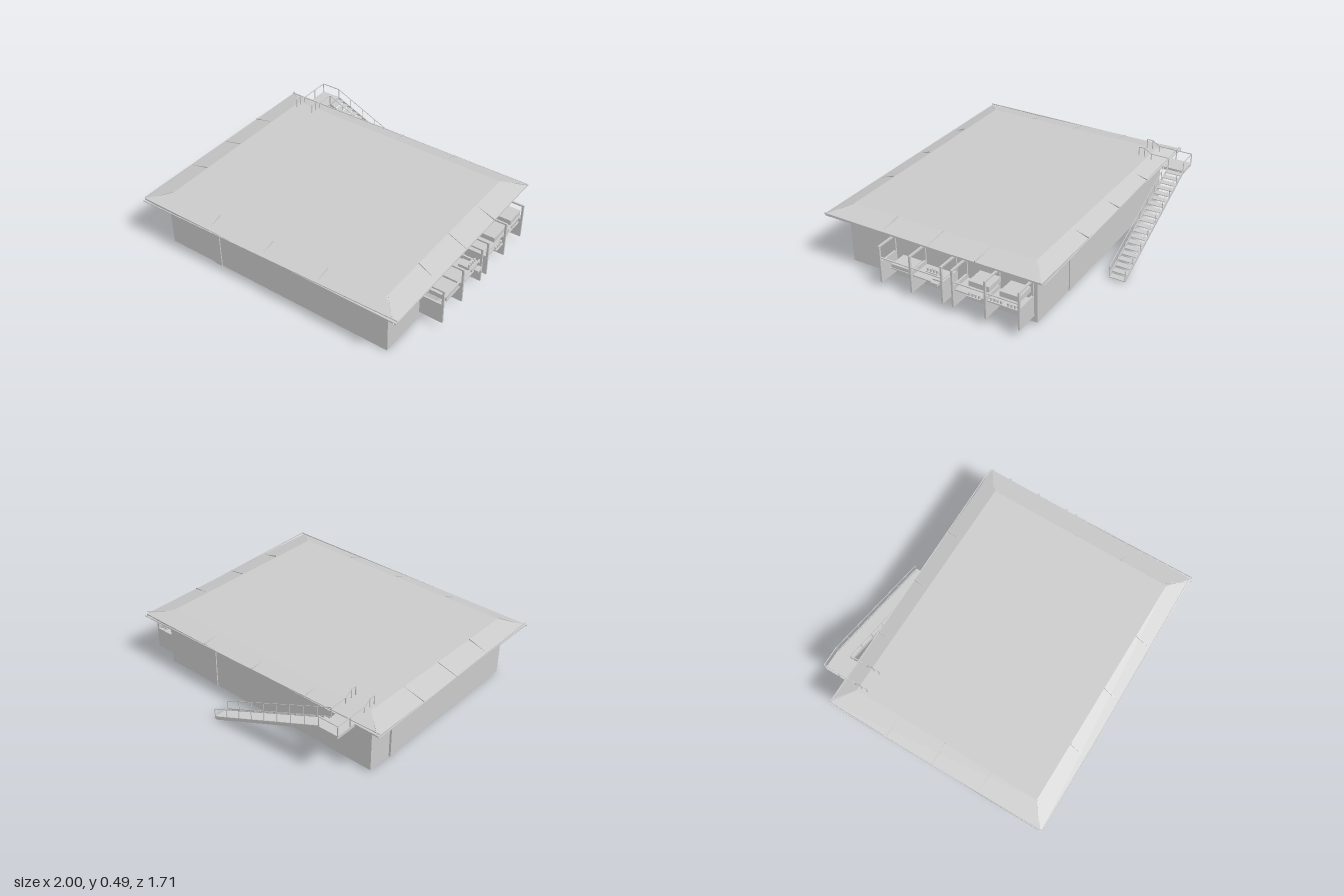
import * as THREE from 'three';

const mat = new THREE.MeshStandardMaterial({ color: 0xcccccc, flatShading: true, side: THREE.DoubleSide });
const CX = -0.028, CZ = 0.073; // centre of the building plan

function add(parent, name, geo) {
  const m = new THREE.Mesh(geo, mat);
  m.name = name;
  parent.add(m);
  return m;
}

// Box given by its extents
function box(parent, name, x0, x1, y0, y1, z0, z1) {
  const m = add(parent, name, new THREE.BoxGeometry(x1 - x0, y1 - y0, z1 - z0));
  m.position.set((x0 + x1) / 2, (y0 + y1) / 2, (z0 + z1) / 2);
  return m;
}

// Square bar between two points
function bar(parent, name, a, b, w = 0.005, h = w) {
  const p = new THREE.Vector3(...a), q = new THREE.Vector3(...b);
  const m = add(parent, name, new THREE.BoxGeometry(w, h, p.distanceTo(q)));
  m.position.copy(p).add(q).multiplyScalar(0.5);
  m.lookAt(q);
  return m;
}

// Rectangular rings [halfX, halfZ, y] joined from bottom to top
function rectLoft(rings, cap) {
  const pos = [];
  const corner = ([hx, hz, y], i) => [
    CX + (i % 4 === 0 || i % 4 === 3 ? -hx : hx), y, CZ + (i % 4 < 2 ? hz : -hz)];
  const quad = (a, b, c, d) => pos.push(...a, ...b, ...c, ...a, ...c, ...d);
  for (let r = 0; r < rings.length - 1; r++) {
    for (let i = 0; i < 4; i++) {
      quad(corner(rings[r], i), corner(rings[r], i + 1), corner(rings[r + 1], i + 1), corner(rings[r + 1], i));
    }
  }
  if (cap) quad(...[0, 1, 2, 3].map((i) => corner(rings[rings.length - 1], i)));
  const g = new THREE.BufferGeometry();
  g.setAttribute('position', new THREE.Float32BufferAttribute(pos, 3));
  g.computeVertexNormals();
  return g;
}

function buildRoof(parent) {
  const roof = new THREE.Group();
  roof.name = 'roof';
  parent.add(roof);
  const E = [0.965, 0.77, 0.378], T = [0.82, 0.655, 0.415];
  add(roof, 'roofShell', rectLoft([[0.85, 0.675, 0.358], [0.965, 0.77, 0.368], E, T], true));
  // ribs running down the sloping eaves
  for (const s of [-1, 1]) {
    for (const x of [-0.45, -0.03, 0.38]) {
      bar(roof, 'eaveRib', [x, E[2], CZ + s * E[1]], [x, T[2], CZ + s * T[1]], 0.007, 0.008);
    }
    for (const z of [-0.27, 0.065, 0.4]) {
      bar(roof, 'eaveRib', [CX + s * E[0], E[2], z], [CX + s * T[0], T[2], z], 0.007, 0.008);
    }
    for (const t of [-1, 1]) {
      bar(roof, 'hipRib', [CX + s * E[0], E[2], CZ + t * E[1]], [CX + s * T[0], T[2], CZ + t * T[1]], 0.005);
    }
    // edge trims
    bar(roof, 'eaveTrim', [CX - E[0], E[2], CZ + s * E[1]], [CX + E[0], E[2], CZ + s * E[1]], 0.006);
    bar(roof, 'eaveTrim', [CX + s * E[0], E[2], CZ - E[1]], [CX + s * E[0], E[2], CZ + E[1]], 0.006);
  }
}

function buildBalconies(parent) {
  const g = new THREE.Group();
  g.name = 'balconies';
  parent.add(g);
  // fin: solid below, open frame above
  const fin = new THREE.Shape();
  fin.moveTo(0, 0.05).lineTo(0.165, 0.05).lineTo(0.165, 0.305).lineTo(0, 0.305).closePath();
  const hole = new THREE.Path();
  hole.moveTo(0.012, 0.195).lineTo(0.012, 0.294).lineTo(0.152, 0.294).lineTo(0.152, 0.195).closePath();
  fin.holes.push(hole);
  const finGeo = new THREE.ExtrudeGeometry(fin, { depth: 0.012, bevelEnabled: false });
  for (const z of [0.4, 0.175, -0.05, -0.125, -0.35, -0.575]) {
    add(g, 'fin', finGeo).position.set(0.82, 0, z - 0.006);
  }
  // ledges and rails of the two runs of bays
  for (const [z0, z1] of [[-0.05, 0.4], [-0.575, -0.125]]) {
    box(g, 'rail', 0.962, 0.972, 0.213, 0.219, z0, z1);
    box(g, 'ledge', 0.82, 0.965, 0.158, 0.166, z0, Math.min(z1, 0.33));
  }
  box(g, 'planter', 0.84, 0.96, 0.166, 0.19, 0.19, 0.33);
  box(g, 'planter', 0.86, 0.96, 0.166, 0.186, -0.03, 0.03);
  // upper boxes
  for (const [z0, z1] of [[-0.37, -0.23], [-0.57, -0.44]]) {
    box(g, 'upperShelf', 0.84, 0.965, 0.225, 0.26, z0, z1);
  }
  // rows of small pots
  for (const [z0, y, x] of [[-0.005, 0.238, 0.955], [-0.307, 0.178, 0.975], [-0.443, 0.178, 0.955], [-0.557, 0.178, 0.955]]) {
    for (let i = 0; i < 4; i++) {
      add(g, 'pot', new THREE.CylinderGeometry(0.008, 0.006, 0.022, 8)).position.set(x, y, z0 + i * 0.022);
    }
    box(g, 'potTray', x - 0.025, x + 0.012, y - 0.015, y - 0.01, z0 - 0.01, z0 + 0.076);
  }
  box(g, 'bracket', 0.97, 0.998, 0.168, 0.185, -0.03, 0.02);
}

function buildStairs(parent) {
  const g = new THREE.Group();
  g.name = 'stairs';
  parent.add(g);
  const xb = 0.18, xt = -0.68, yt = 0.38, zs = [-0.842, -0.735], n = 20;
  const at = (t, dy, z) => [xb + (xt - xb) * t, yt * t + dy, z];
  for (let i = 0; i < n; i++) {
    const [x, y] = at((i + 0.5) / n, 0, 0);
    box(g, 'tread', x - 0.022, x + 0.022, y - 0.002, y + 0.003, zs[0], zs[1]);
  }
  for (const z of zs) {
    bar(g, 'stringer', at(0.015, 0.007, z), at(1, 0, z), 0.005, 0.022);
    bar(g, 'handrail', at(0.01, 0.075, z), at(1, 0.075, z), 0.004);
    for (let i = 0; i <= 8; i++) {
      const t = 0.01 + i * 0.12375;
      bar(g, 'railPost', at(t, 0, z), at(t, 0.075, z), 0.004);
    }
  }
  // landing that meets the roof
  box(g, 'landing', -0.82, xt, 0.368, 0.388, -0.845, -0.59);
  box(g, 'landingStep', -0.815, -0.685, 0.388, 0.405, -0.62, -0.59);
  const path = (pts) => {
    for (let i = 0; i < pts.length - 1; i++) bar(g, 'landingRail', pts[i], pts[i + 1], 0.005);
  };
  const post = (x, y0, y1, z) => bar(g, 'landingPost', [x, y0, z], [x, y1, z], 0.005);
  path([[xt, 0.455, zs[0]], [-0.818, 0.455, zs[0]], [-0.818, 0.455, -0.61], [-0.818, 0.485, -0.56], [-0.818, 0.485, -0.52]]);
  path([[-0.683, 0.455, zs[1]], [-0.683, 0.455, -0.61], [-0.683, 0.485, -0.56], [-0.683, 0.485, -0.52]]);
  for (const x of [-0.818, -0.683]) {
    post(x, 0.38, 0.455, -0.735);
    post(x, 0.38, 0.455, -0.61);
    post(x, 0.4, 0.485, -0.56);
    post(x, 0.415, 0.485, -0.52);
  }
  post(-0.818, 0.38, 0.455, zs[0]);
}

export function createModel() {
  const model = new THREE.Group();
  model.name = 'pavilion';
  // the building leans and turns very slightly; the stairs stand level
  const building = new THREE.Group();
  building.name = 'building';
  building.rotation.set(0.0133, -0.008, 0);
  model.add(building);

  // walls with a recessed cornice, open below
  add(building, 'walls', rectLoft([
    [0.85, 0.675, 0.01], [0.85, 0.675, 0.315], [0.835, 0.66, 0.33],
    [0.835, 0.66, 0.343], [0.85, 0.675, 0.358]], false));

  // doors
  box(building, 'frontDoor', -0.51, -0.455, 0.012, 0.29, 0.735, 0.755);
  box(building, 'backDoor', 0.39, 0.445, 0.012, 0.29, -0.609, -0.59);
  box(building, 'sideDoor', -0.892, -0.865, 0.012, 0.285, -0.43, -0.36);

  buildRoof(building);
  buildBalconies(building);
  buildStairs(model);
  return model;
}
